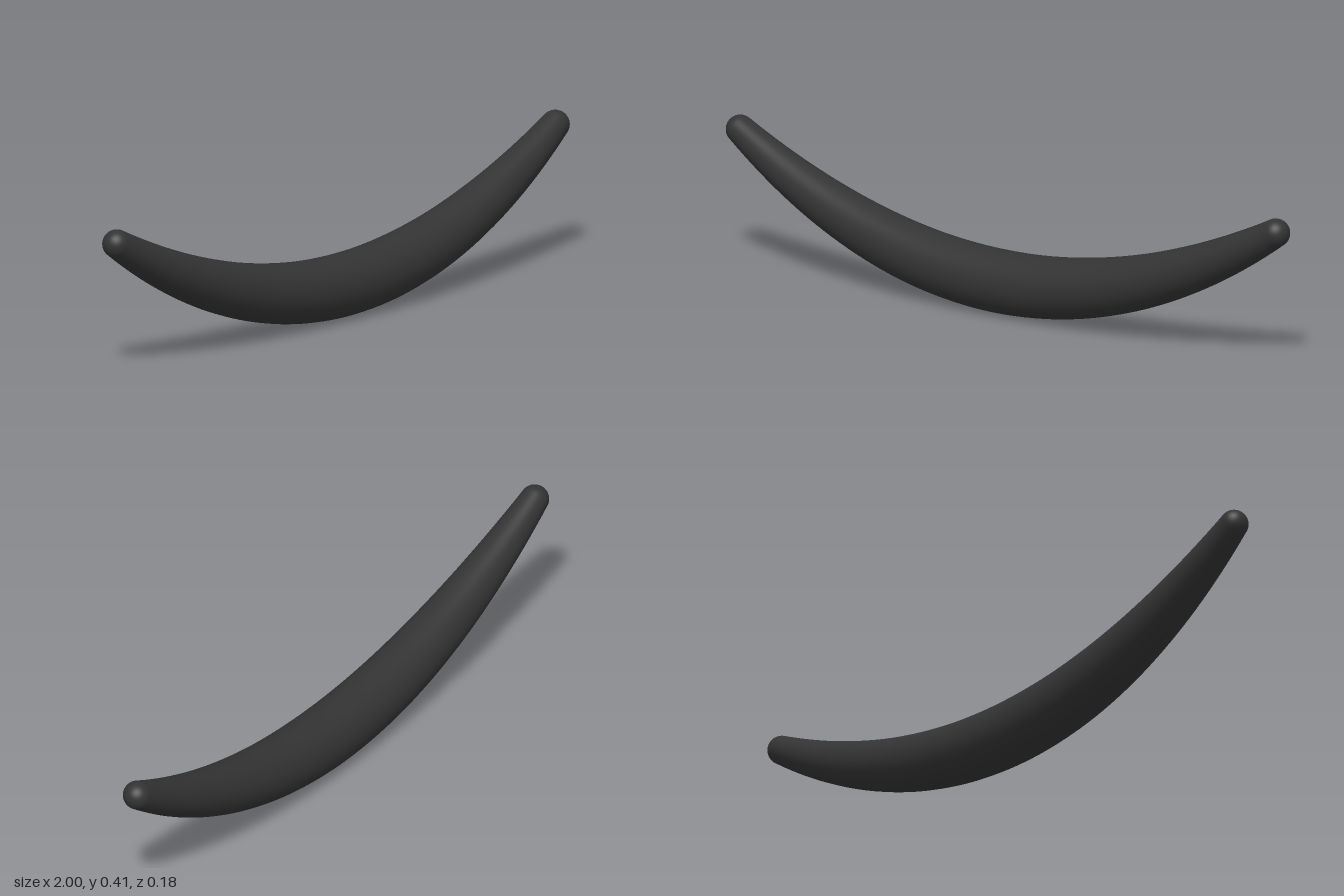
import * as THREE from 'three';
import { mergeVertices } from 'three/addons/utils/BufferGeometryUtils.js';

const END = 0.96;      // x where the rounded tips begin
const MID_R = 0.088;   // radius at the middle
const TIP_R = 0.04;    // radius at the tips

// Sagging centre line, swept slightly back towards both tips
const centre = (x) => {
  const t = x / END;
  return new THREE.Vector3(x, MID_R + 0.28 * t * t, -0.02 * t * t);
};
const radius = (x) => THREE.MathUtils.lerp(MID_R, TIP_R, (x / END) ** 2);

// Straight tapered spindle with hemispherical ends, along y
function spindleProfile() {
  const pts = [];
  const capSteps = 10, bodySteps = 64;
  for (let i = 0; i < capSteps; i++) {
    const a = (i / capSteps) * Math.PI / 2;
    pts.push(new THREE.Vector2(TIP_R * Math.sin(a), -END - TIP_R * Math.cos(a)));
  }
  for (let i = 0; i <= bodySteps; i++) {
    const x = -END + (2 * END * i) / bodySteps;
    pts.push(new THREE.Vector2(radius(x), x));
  }
  for (let i = capSteps - 1; i >= 0; i--) {
    const a = (i / capSteps) * Math.PI / 2;
    pts.push(new THREE.Vector2(TIP_R * Math.sin(a), END + TIP_R * Math.cos(a)));
  }
  return pts;
}

// Lay the spindle along the centre line, keeping sections square to it
function bend(geometry) {
  const pos = geometry.attributes.position;
  for (let i = 0; i < pos.count; i++) {
    const s = pos.getY(i);
    const x = THREE.MathUtils.clamp(s, -END, END);
    const tangent = new THREE.Vector3(1, (0.56 * x) / (END * END), 0).normalize();
    const normal = new THREE.Vector3(-tangent.y, tangent.x, 0);
    const p = centre(x)
      .addScaledVector(tangent, s - x)
      .addScaledVector(normal, -pos.getX(i));
    pos.setXYZ(i, p.x, p.y, p.z + pos.getZ(i));
  }
}

export function createModel() {
  const group = new THREE.Group();
  group.name = 'curvedHandle';

  let geometry = new THREE.LatheGeometry(spindleProfile(), 40);
  bend(geometry);
  // Weld the seam for smooth shading all round
  geometry.deleteAttribute('normal');
  geometry.deleteAttribute('uv');
  geometry = mergeVertices(geometry, 1e-5);
  geometry.computeVertexNormals();

  const bar = new THREE.Mesh(geometry, new THREE.MeshStandardMaterial({ color: 0x333333 }));
  bar.name = 'curvedBar';
  group.add(bar);
  return group;
}
